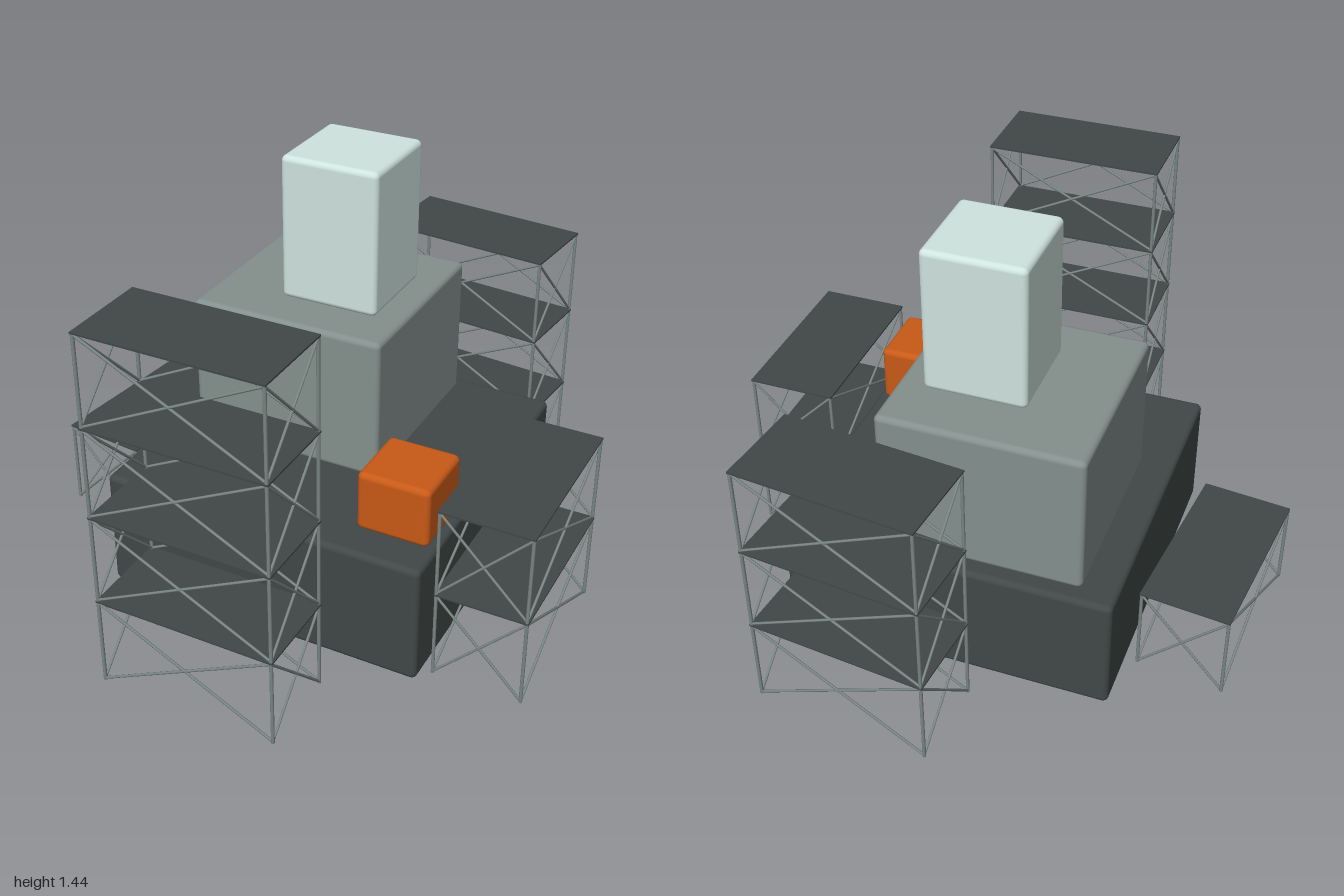
import * as THREE from 'three';
import { RoundedBoxGeometry } from 'three/addons/geometries/RoundedBoxGeometry.js';

const paint = (color) => new THREE.MeshStandardMaterial({ color });
const STEEL = paint(0x7a8784);
const DECK = paint(0x414847);

const LENGTH = 0.62, DEPTH = 0.31, LEVEL = 0.3125, POLE = 0.006;

// Rounded block resting on height y0
function block(name, [x, y0, z], [w, h, d], color) {
  const mesh = new THREE.Mesh(new RoundedBoxGeometry(w, h, d, 3, 0.02), paint(color));
  mesh.name = name;
  mesh.position.set(x, y0 + h / 2, z);
  return mesh;
}

// Round bar between two points
function bar(name, a, b, radius) {
  const dir = b.clone().sub(a);
  const mesh = new THREE.Mesh(new THREE.CylinderGeometry(radius, radius, dir.length(), 8), STEEL);
  mesh.name = name;
  mesh.position.copy(a).add(b).multiplyScalar(0.5);
  mesh.quaternion.setFromUnitVectors(new THREE.Vector3(0, 1, 0), dir.normalize());
  return mesh;
}

// Scaffold tower: four legs, then a deck and crossed braces on all sides of each level
function scaffold(name, levels, x, z, turn) {
  const tower = new THREE.Group();
  tower.name = name;
  const hx = LENGTH / 2 - POLE, hz = DEPTH / 2 - POLE;
  const corners = [[-hx, -hz], [hx, -hz], [hx, hz], [-hx, hz]];
  const at = (i, y) => new THREE.Vector3(corners[i % 4][0], y, corners[i % 4][1]);

  for (let i = 0; i < 4; i++) tower.add(bar('leg', at(i, 0), at(i, levels * LEVEL), POLE));

  for (let n = 0; n < levels; n++) {
    const low = n * LEVEL + 0.005, high = (n + 1) * LEVEL - 0.005;
    for (let i = 0; i < 4; i++) {
      tower.add(bar('brace', at(i, low), at(i + 1, high), POLE * 0.75));
      tower.add(bar('brace', at(i, high), at(i + 1, low), POLE * 0.75));
    }
    const deck = new THREE.Mesh(new THREE.BoxGeometry(LENGTH, 0.006, DEPTH), DECK);
    deck.name = 'deck';
    deck.position.y = (n + 1) * LEVEL;
    tower.add(deck);
  }
  tower.position.set(x, 0, z);
  tower.rotation.y = turn;
  return tower;
}

export function createModel() {
  const model = new THREE.Group();
  model.name = 'scaffoldedBlocks';

  // Stacked blocks
  model.add(
    block('baseBlock', [0.035, 0, -0.02], [1.14, 0.427, 1.14], 0x414847),
    block('middleBlock', [-0.075, 0.427, -0.192], [0.69, 0.506, 0.69], 0x84908d),
    block('topBlock', [0.006, 0.933, -0.177], [0.346, 0.504, 0.346], 0xcfe4df),
    block('accentBlock', [0.455, 0.427, 0.306], [0.248, 0.211, 0.248], 0xc85a17),
  );

  // Scaffolds around the base
  model.add(
    scaffold('frontScaffold', 4, 0.035, 0.842, 0),
    scaffold('backScaffold', 3, 0.228, -0.811, -0.1),
    scaffold('leftScaffold', 2, 0.786, 0.179, Math.PI / 2),
    scaffold('rightScaffold', 1, -0.756, -0.086, Math.PI / 2 - 0.107),
  );
  return model;
}
